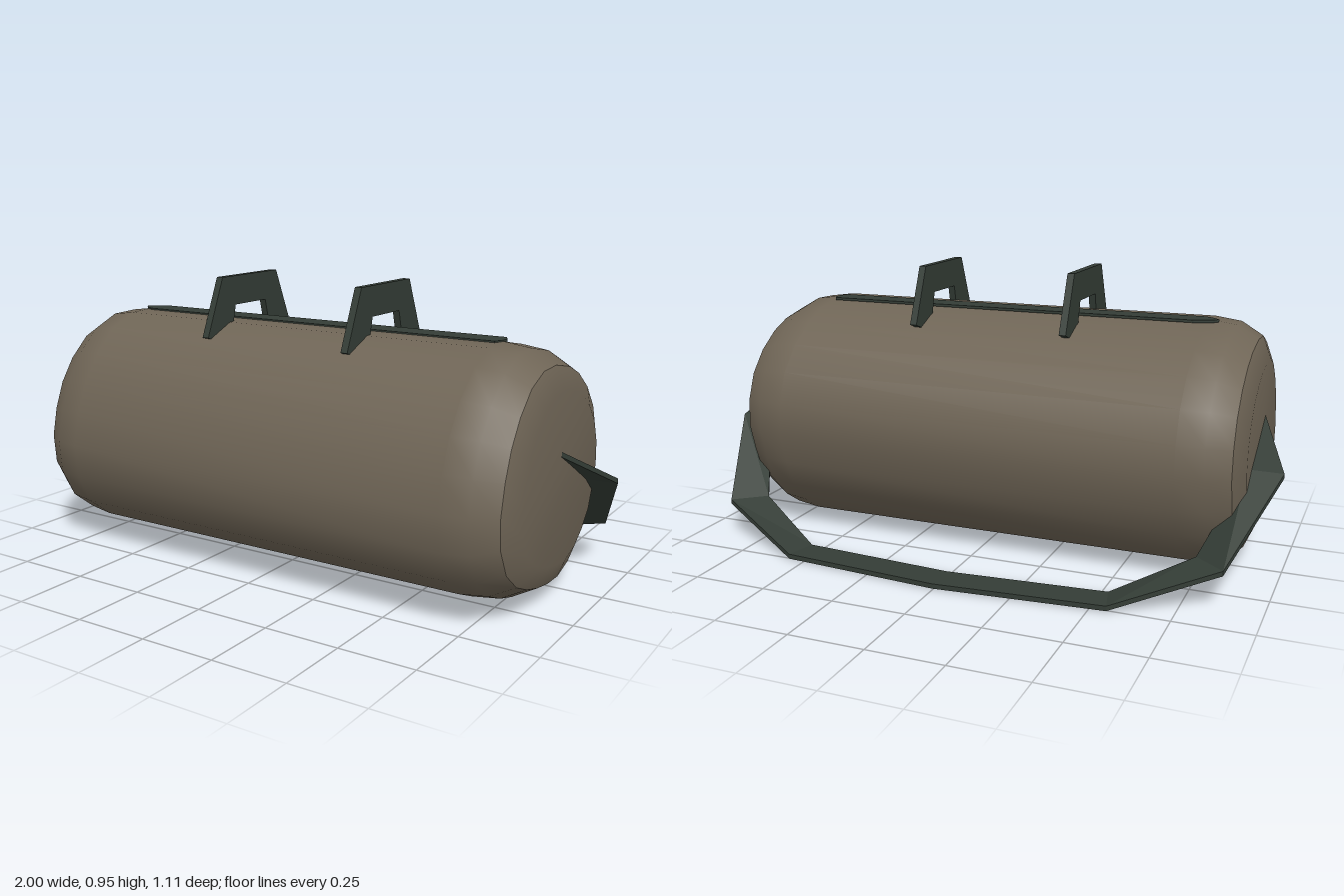
import * as THREE from 'three';

const fabric = new THREE.MeshStandardMaterial({ color: 0x6f6556 });
fabric.name = 'brown fabric';
const webbing = new THREE.MeshStandardMaterial({ color: 0x343d36 });
webbing.name = 'dark green webbing';

// Slouched cross-section of the bag as [z, y]
const outline = [
  [0.237, 0.796], [0.13, 0.8], [0, 0.775], [-0.095, 0.736], [-0.19, 0.67], [-0.264, 0.585],
  [-0.305, 0.48], [-0.311, 0.37], [-0.278, 0.26], [-0.24, 0.167], [-0.16, 0.085], [-0.074, 0.028],
  [0.024, 0.001], [0.12, 0.004], [0.216, 0.02], [0.308, 0.046], [0.4, 0.085], [0.489, 0.155],
  [0.542, 0.256], [0.551, 0.37], [0.527, 0.48], [0.486, 0.583], [0.424, 0.674], [0.338, 0.754],
];
const CZ = 0.12, CY = 0.398;

// Lofts the outline through rings of [x, scale]
function loft(rings) {
  const n = outline.length, pos = [], index = [];
  for (const [x, s] of rings)
    for (const [z, y] of outline) pos.push(x, CY + (y - CY) * s, CZ + (z - CZ) * s);
  for (let i = 0; i < rings.length - 1; i++)
    for (let j = 0; j < n; j++) {
      const a = i * n + j, b = i * n + (j + 1) % n, c = a + n, d = b + n;
      index.push(a, c, b, b, c, d);
    }
  const g = new THREE.BufferGeometry();
  g.setAttribute('position', new THREE.Float32BufferAttribute(pos, 3));
  g.setIndex(index);
  g.computeVertexNormals();
  return g;
}

// Flat-faced ribbon between matching outer and inner edge points
function ribbon(outer, inner, thick) {
  const rings = outer.map((o, k) => {
    const i = inner[k];
    return [o, i, [i[0], i[1] - thick, i[2]], [o[0], o[1] - thick, o[2]]];
  });
  const pos = [];
  const quad = (a, b, c, d) => pos.push(...a, ...b, ...c, ...a, ...c, ...d);
  for (let k = 0; k < rings.length - 1; k++)
    for (let m = 0; m < 4; m++) {
      const p = rings[k], q = rings[k + 1], m2 = (m + 1) % 4;
      quad(p[m], q[m], q[m2], p[m2]);
    }
  quad(...rings[0]);
  quad(...rings[rings.length - 1].slice().reverse());
  const g = new THREE.BufferGeometry();
  g.setAttribute('position', new THREE.Float32BufferAttribute(pos, 3));
  g.computeVertexNormals();
  return g;
}

const shapeOf = (pts) => new THREE.Shape(pts.map(([x, y]) => new THREE.Vector2(x, y)));

export function createModel() {
  const model = new THREE.Group();
  model.name = 'duffelBag';
  const add = (name, geometry, material) => {
    const mesh = new THREE.Mesh(geometry, material);
    mesh.name = name;
    model.add(mesh);
    return mesh;
  };

  // Rounded body and the two end panels
  add('bagBody', loft([[-0.865, 0.863], [-0.79, 0.97], [-0.7, 1], [0.7, 1], [0.79, 0.97], [0.865, 0.863]]), fabric);
  add('leftEndPanel', loft([[0.865, 0.863], [0.897, 0.68], [0.9, 0]]), fabric);
  add('rightEndPanel', loft([[-0.9, 0], [-0.897, 0.68], [-0.865, 0.863]]), fabric);

  // Zip strip along the top
  const zip = new THREE.ExtrudeGeometry(shapeOf([
    [-0.735, -0.115], [-0.715, -0.14], [-0.68, -0.16], [0.68, -0.16], [0.695, -0.13],
    [0.695, -0.1], [0.68, -0.07], [-0.66, -0.07], [-0.72, -0.095],
  ]), { depth: 0.009, bevelEnabled: false });
  zip.rotateX(-Math.PI / 2);
  add('zipStrip', zip, webbing).position.y = 0.795;

  // Carrying handles
  const handle = new THREE.ExtrudeGeometry(shapeOf([
    [0.355, 0.757], [0.272, 0.95], [-0.033, 0.95], [-0.115, 0.757],
    [0, 0.715], [0.035, 0.852], [0.204, 0.852], [0.235, 0.715],
  ]), { depth: 0.024, bevelEnabled: false });
  handle.translate(0, 0, -0.012);
  handle.rotateY(-Math.PI / 2);
  for (const side of [1, -1])
    add(side > 0 ? 'leftHandle' : 'rightHandle', handle, webbing).position.x = side * 0.27;

  // Shoulder strap, from the end panels down to the ground behind
  const mirror = (half) => [...half, ...half.slice(0, -1).reverse().map(([x, y, z]) => [-x, y, z])];
  const outer = mirror([[0.9, 0.488, 0.14], [1, 0.365, -0.09], [0.875, 0.13, -0.375], [0.555, 0.02, -0.51], [0, 0.02, -0.555]]);
  const inner = mirror([[0.86, 0.488, 0.14], [0.885, 0.365, -0.085], [0.775, 0.13, -0.29], [0.53, 0.02, -0.405], [0, 0.02, -0.445]]);
  add('shoulderStrap', ribbon(outer, inner, 0.016), webbing);

  return model;
}
